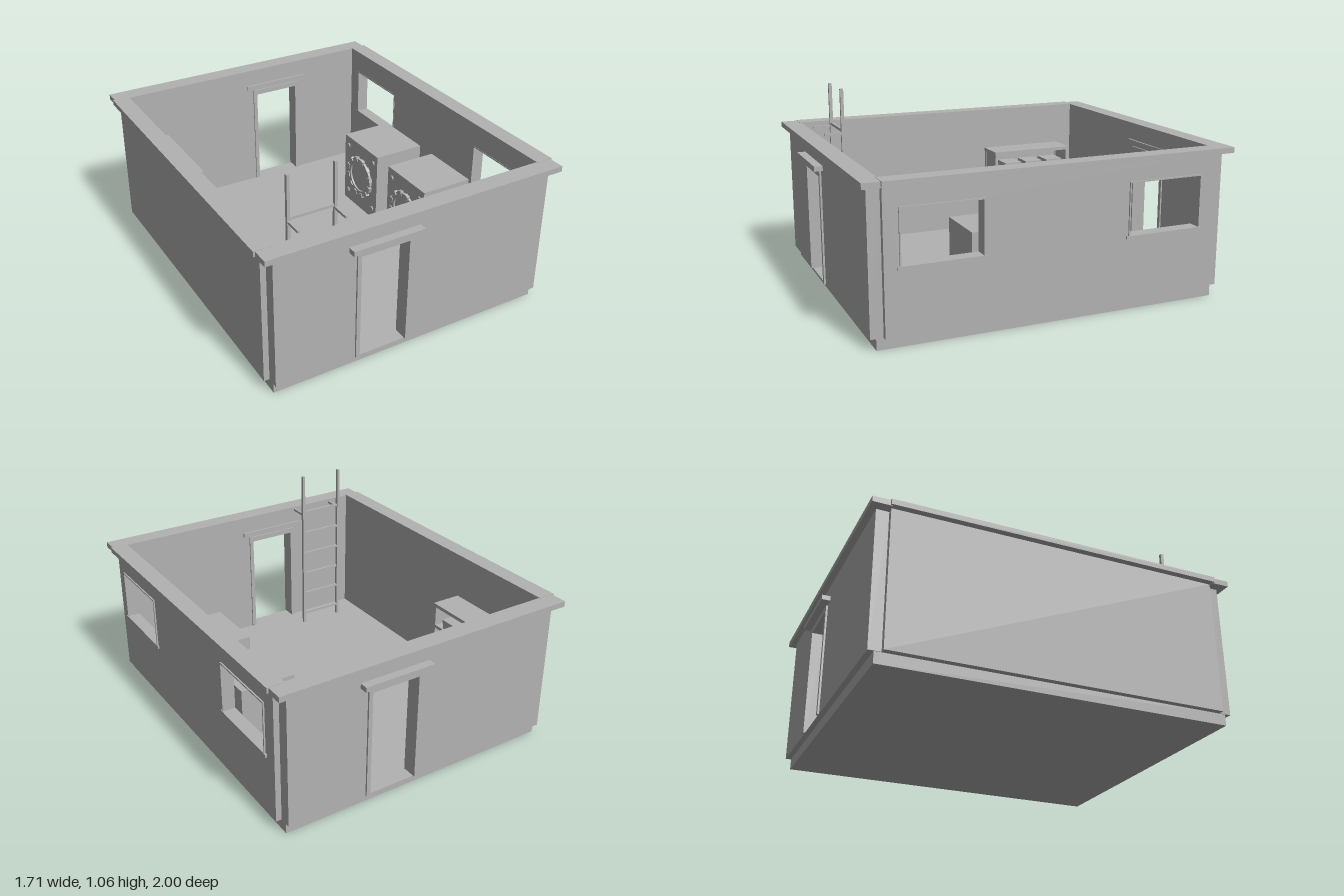
import * as THREE from 'three';

const grey = new THREE.MeshStandardMaterial({ color: 0xb2b2b2 });
grey.name = 'plain grey';

// box given by its low and high limits on each axis
function box(parent, name, x0, x1, y0, y1, z0, z1) {
  const m = new THREE.Mesh(new THREE.BoxGeometry(x1 - x0, y1 - y0, z1 - z0), grey);
  m.position.set((x0 + x1) / 2, (y0 + y1) / 2, (z0 + z1) / 2);
  m.name = name;
  parent.add(m);
  return m;
}

function group(parent, name) {
  const g = new THREE.Group();
  g.name = name;
  parent.add(g);
  return g;
}

// rectangular wall in the XY plane with rectangular holes [x0, x1, y0, y1]
function wallGeometry(half, y0, y1, depth, holes) {
  const rect = (T, a, b, c, d) => {
    const p = new T();
    p.moveTo(a, c); p.lineTo(b, c); p.lineTo(b, d); p.lineTo(a, d); p.closePath();
    return p;
  };
  const s = rect(THREE.Shape, -half, half, y0, y1);
  holes.forEach(h => s.holes.push(rect(THREE.Path, ...h)));
  return new THREE.ExtrudeGeometry(s, { depth, bevelEnabled: false });
}

// end wall with doorway, frame, lintel and rim (front orientation)
function endWall(parent, name) {
  const g = group(parent, name);
  const geo = wallGeometry(0.79, 0.06, 0.79, 0.065, [[-0.35, -0.037, 0.061, 0.68]]);
  const wall = new THREE.Mesh(geo, grey);
  wall.name = 'doorWall';
  wall.position.z = 0.89;
  g.add(wall);
  box(g, 'doorJambOuter', -0.352, -0.33, 0.06, 0.68, 0.882, 0.965);
  box(g, 'doorJambInner', -0.06, -0.037, 0.06, 0.68, 0.882, 0.965);
  box(g, 'doorHead', -0.33, -0.06, 0.65, 0.68, 0.882, 0.965);
  box(g, 'doorLintel', -0.395, 0.003, 0.69, 0.717, 0.88, 1.0);
  box(g, 'endRim', -0.845, 0.845, 0.785, 0.815, 0.89, 0.99);
  return g;
}

// washing machine facing -x
function machine(parent, zc) {
  const g = group(parent, 'washingMachine');
  box(g, 'machineBody', 0.42, 0.725, 0.06, 0.492, zc - 0.177, zc + 0.177);
  const door = group(g, 'machineDoor');
  door.position.set(0.42, 0.28, zc);
  door.rotation.y = -Math.PI / 2;
  const add = (geo, name, z) => {
    const m = new THREE.Mesh(geo, grey);
    m.name = name;
    m.position.z = z;
    door.add(m);
    return m;
  };
  const ring = new THREE.Shape().absarc(0, 0, 0.122, 0, Math.PI * 2);
  ring.holes.push(new THREE.Path().absarc(0, 0, 0.092, 0, Math.PI * 2, true));
  add(new THREE.ExtrudeGeometry(ring, { depth: 0.014, bevelEnabled: false, curveSegments: 16 }), 'doorRing', 0);
  add(new THREE.CircleGeometry(0.092, 24), 'doorPane', 0.004);
  // raised blocks round the ring
  for (let i = 0; i < 12; i++) {
    const a = (i + 0.5) / 12 * Math.PI * 2;
    const b = add(new THREE.BoxGeometry(0.026, 0.03, 0.02), 'ringBlock', 0.01);
    b.position.x = Math.cos(a) * 0.117;
    b.position.y = Math.sin(a) * 0.117;
    b.rotation.z = a;
  }
  // small corner discs
  for (const sx of [-1, 1]) for (const sy of [-1, 1]) {
    const d = add(new THREE.CylinderGeometry(0.015, 0.015, 0.01, 10).rotateX(Math.PI / 2), 'cornerDisc', 0.003);
    d.position.x = sx * 0.135;
    d.position.y = sy * 0.155;
  }
}

export function createModel() {
  const root = new THREE.Group();
  root.name = 'utilityRoom';

  box(root, 'floorSlab', -0.787, 0.787, 0, 0.06, -0.925, 0.925);

  // front and back walls are the same piece turned half round
  endWall(root, 'frontWall');
  endWall(root, 'backWall').rotation.y = Math.PI;

  // plain wall on one side, windowed wall on the other
  box(root, 'plainSideWall', -0.82, -0.76, 0.06, 0.79, -0.89, 0.89);
  const windows = [[0.393, 0.815], [-0.81, -0.387]];
  const holes = windows.map(([a, b]) => [-b, -a, 0.405, 0.685]);
  const side = new THREE.Mesh(wallGeometry(0.89, 0.06, 0.79, 0.06, holes), grey);
  side.name = 'windowSideWall';
  side.rotation.y = Math.PI / 2;
  side.position.x = 0.76;
  root.add(side);
  for (const [a, b] of windows) {
    const w = group(root, 'windowFrame');
    const t = 0.007;
    box(w, 'windowHead', 0.758, 0.828, 0.685 - t, 0.685, a, b);
    box(w, 'windowPostBack', 0.758, 0.828, 0.405, 0.685 - t, a, a + t);
    box(w, 'windowPostFront', 0.758, 0.828, 0.405, 0.685 - t, b - t, b);
    box(w, 'windowSill', 0.758, 0.83, 0.39, 0.406, a - 0.012, b + 0.012);
  }
  for (const [a, b] of [[-0.855, -0.76], [0.76, 0.855]]) {
    box(root, 'sideRim', a, b, 0.788, 0.817, -0.9, 0.9);
  }

  // ladder to the roof
  const ladder = group(root, 'ladder');
  for (const x of [-0.602, -0.349]) {
    box(ladder, 'ladderPost', x - 0.008, x + 0.008, 0.06, 1.06, 0.742, 0.76);
    box(ladder, 'ladderBracket', x - 0.006, x + 0.006, 0.805, 0.818, 0.76, 0.855);
  }
  for (let i = 0; i < 6; i++) {
    const y = 0.827 - i * 0.14;
    box(ladder, 'ladderRung', -0.594, -0.357, y - 0.007, y + 0.007, 0.743, 0.757);
  }

  // storage rack with rows of lidded boxes
  const rack = group(root, 'storageRack');
  box(rack, 'rackTop', -0.752, -0.58, 0.553, 0.573, -0.788, -0.275);
  box(rack, 'rackBack', -0.752, -0.745, 0.13, 0.553, -0.785, -0.278);
  for (const z of [-0.785, -0.278]) {
    const s = z < -0.5 ? 1 : -1;
    const [a, b] = [z, z + s * 0.016].sort((p, q) => p - q);
    box(rack, 'rackLegFront', -0.6, -0.582, 0.06, 0.553, a, b);
    box(rack, 'rackLegBack', -0.75, -0.732, 0.06, 0.553, a, b);
    box(rack, 'rackEndPanel', -0.732, -0.6, 0.13, 0.553, (a + b) / 2 - 0.003, (a + b) / 2 + 0.003);
  }
  for (const y of [0.44, 0.29, 0.14]) {
    box(rack, 'rackShelf', -0.745, -0.583, y - 0.018, y, -0.769, -0.294);
    for (const z of [-0.69, -0.547, -0.404]) {
      box(rack, 'storageBox', -0.71, -0.592, y, y + 0.032, z - 0.052, z + 0.052);
      box(rack, 'storageBoxLid', -0.713, -0.588, y + 0.032, y + 0.056, z - 0.055, z + 0.055);
    }
  }

  machine(root, 0.243);
  machine(root, -0.227);
  return root;
}
